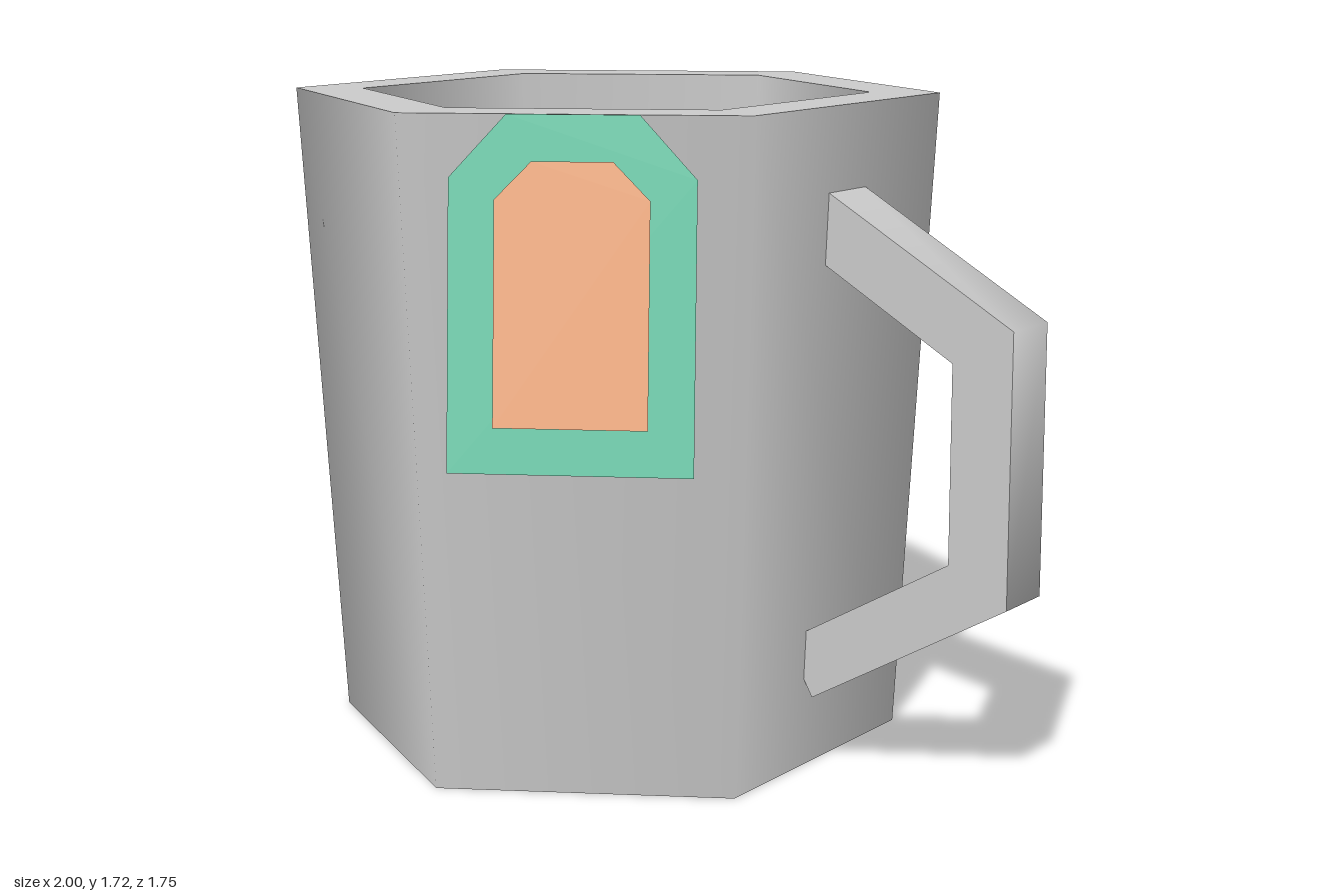
import * as THREE from 'three';
import { toCreasedNormals } from 'three/addons/utils/BufferGeometryUtils.js';

const CX = -0.257, CZ = -0.017, HEIGHT = 1.72, LIQUID_Y = 1.47;

function addMesh(parent, name, geometry, color = 0xcccccc, side = THREE.FrontSide) {
  const mesh = new THREE.Mesh(geometry, new THREE.MeshStandardMaterial({ color, side }));
  mesh.name = name;
  parent.add(mesh);
  return mesh;
}

const toVectors = (points) => points.map(([x, y]) => new THREE.Vector2(x, y));

// Six-sided surface of revolution, smooth around, with corners at front and back
const hexLathe = (...points) => new THREE.LatheGeometry(toVectors(points), 6);

// Flat arched card: square bottom, chamfered top
function cardGeometry(half, topHalf, bottom, shoulder, top) {
  return new THREE.ShapeGeometry(new THREE.Shape(toVectors([
    [-half, bottom], [half, bottom], [half, shoulder],
    [topHalf, top], [-topHalf, top], [-half, shoulder],
  ])));
}

export function createModel() {
  const model = new THREE.Group();
  model.name = 'mug';

  // Cup: each band is separate so rim and base edges stay crisp
  const cup = new THREE.Group();
  cup.name = 'cup';
  cup.position.set(CX, 0, CZ);
  model.add(cup);
  addMesh(cup, 'outerWall', hexLathe([0.762, 0], [0.858, HEIGHT]));
  addMesh(cup, 'rim', hexLathe([0.858, HEIGHT], [0.677, HEIGHT]));
  addMesh(cup, 'innerWall', hexLathe([0.677, HEIGHT], [0.667, LIQUID_Y]));
  addMesh(cup, 'base', hexLathe([0, 0], [0.762, 0]));

  // Drink: pale outer band with a darker middle
  addMesh(cup, 'drink', hexLathe([0.667, LIQUID_Y], [0, LIQUID_Y]), 0xf5ae80);
  addMesh(cup, 'drinkCentre', hexLathe([0.487, LIQUID_Y + 0.004], [0, LIQUID_Y + 0.004]), 0xcc8868);

  // Angular handle, its ends sunk into the wall
  const handleShape = new THREE.Shape(toVectors([
    [0.44, 0.195], [1, 0.52], [1, 1.21], [0.44, 1.525],
    [0.36, 1.385], [0.835, 1.115], [0.835, 0.61], [0.36, 0.335],
  ]));
  const handleGeometry = new THREE.ExtrudeGeometry(handleShape, { depth: 0.17, bevelEnabled: false });
  const handle = addMesh(model, 'handle', toCreasedNormals(handleGeometry, THREE.MathUtils.degToRad(75)));
  handle.position.z = CZ - 0.085;

  // Tag hanging from the rim on the front-left face, swinging out at the bottom
  const tag = new THREE.Group();
  tag.name = 'tag';
  const angle = Math.PI / 6, distance = 0.859;
  tag.position.set(CX + distance * Math.sin(angle), 0.87, CZ + distance * Math.cos(angle));
  tag.rotation.set(-0.126, angle, 0, 'YXZ');
  model.add(tag);
  addMesh(tag, 'tagCard', cardGeometry(0.298, 0.16, 0, 0.706, 0.857), 0x69cdaa, THREE.DoubleSide);
  const panel = addMesh(tag, 'tagPanel', cardGeometry(0.187, 0.098, 0.111, 0.655, 0.746), 0xf5ae80);
  panel.position.z = 0.004;

  return model;
}
